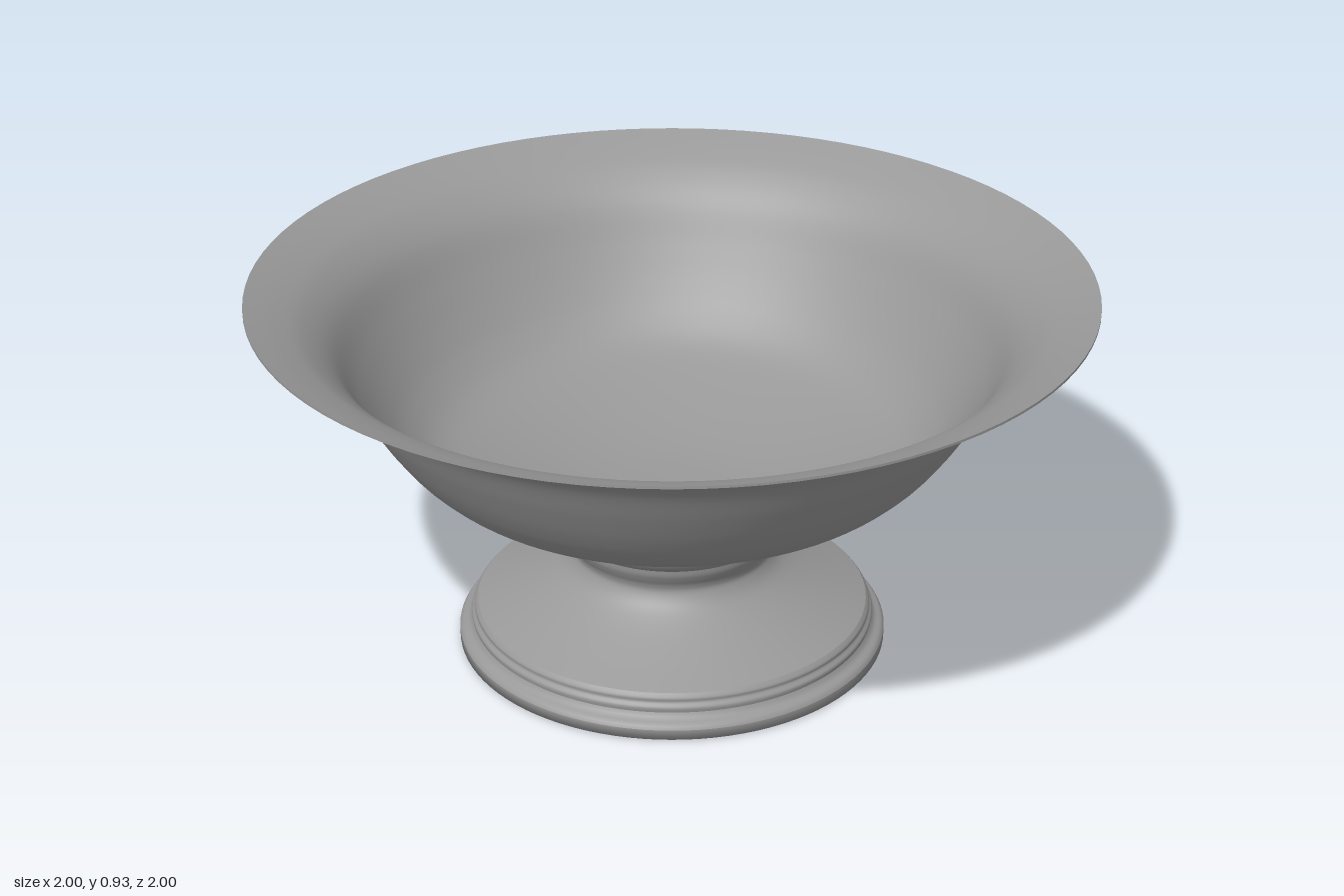
import * as THREE from 'three';

const SEGMENTS = 96;

export function createModel() {
  const stone = new THREE.MeshStandardMaterial({ color: 0x999999 });
  stone.name = 'grey stone';

  const model = new THREE.Group();
  model.name = 'pedestalBowl';
  const foot = new THREE.Group();
  foot.name = 'foot';
  const bowl = new THREE.Group();
  bowl.name = 'bowl';
  model.add(foot, bowl);

  // One smooth turned band; edges between bands stay sharp.
  function turn(parent, name, profile, steps = 0) {
    let points = profile.map(([r, y]) => new THREE.Vector2(r, y));
    if (steps) points = new THREE.SplineCurve(points).getPoints(steps);
    points.forEach((p) => { p.x = Math.max(p.x, 0); });
    const mesh = new THREE.Mesh(new THREE.LatheGeometry(points, SEGMENTS), stone);
    mesh.name = name;
    parent.add(mesh);
  }

  // Foot: stepped plinth, sloping skirt, waist and collar
  turn(foot, 'plinthBase', [[0, 0], [0.49, 0], [0.523, 0.003], [0.523, 0.028]]);
  turn(foot, 'plinthShoulder', [[0.523, 0.028], [0.516, 0.038], [0.5, 0.046], [0.492, 0.058]], 8);
  turn(foot, 'plinthBead', [
    [0.492, 0.058], [0.493, 0.07], [0.485, 0.081], [0.485, 0.091], [0.477, 0.102],
  ], 16);
  turn(foot, 'skirtAndWaist', [
    [0.477, 0.102], [0.4, 0.133], [0.32, 0.17], [0.268, 0.203],
    [0.246, 0.235], [0.247, 0.256], [0.257, 0.275], [0.265, 0.292], [0.268, 0.308],
  ], 36);
  turn(foot, 'collar', [
    [0.268, 0.308], [0.292, 0.325], [0.309, 0.352], [0.315, 0.385], [0.308, 0.414],
  ], 16);

  // Bowl: flared thin wall, narrow lip, hollow inside
  turn(bowl, 'outerWall', [
    [0, 0.382], [0.16, 0.388], [0.31, 0.412], [0.47, 0.453], [0.57, 0.492], [0.642, 0.55],
    [0.698, 0.62], [0.752, 0.705], [0.808, 0.8], [0.868, 0.857], [0.93, 0.891], [1, 0.92],
  ], 66);
  turn(bowl, 'lip', [[1, 0.92], [1, 0.926]]);
  turn(bowl, 'inside', [
    [1, 0.926], [0.928, 0.898], [0.864, 0.864], [0.802, 0.805], [0.745, 0.709],
    [0.691, 0.625], [0.636, 0.556], [0.566, 0.499], [0.468, 0.461], [0.31, 0.42],
    [0.16, 0.396], [0, 0.39],
  ], 66);

  return model;
}
